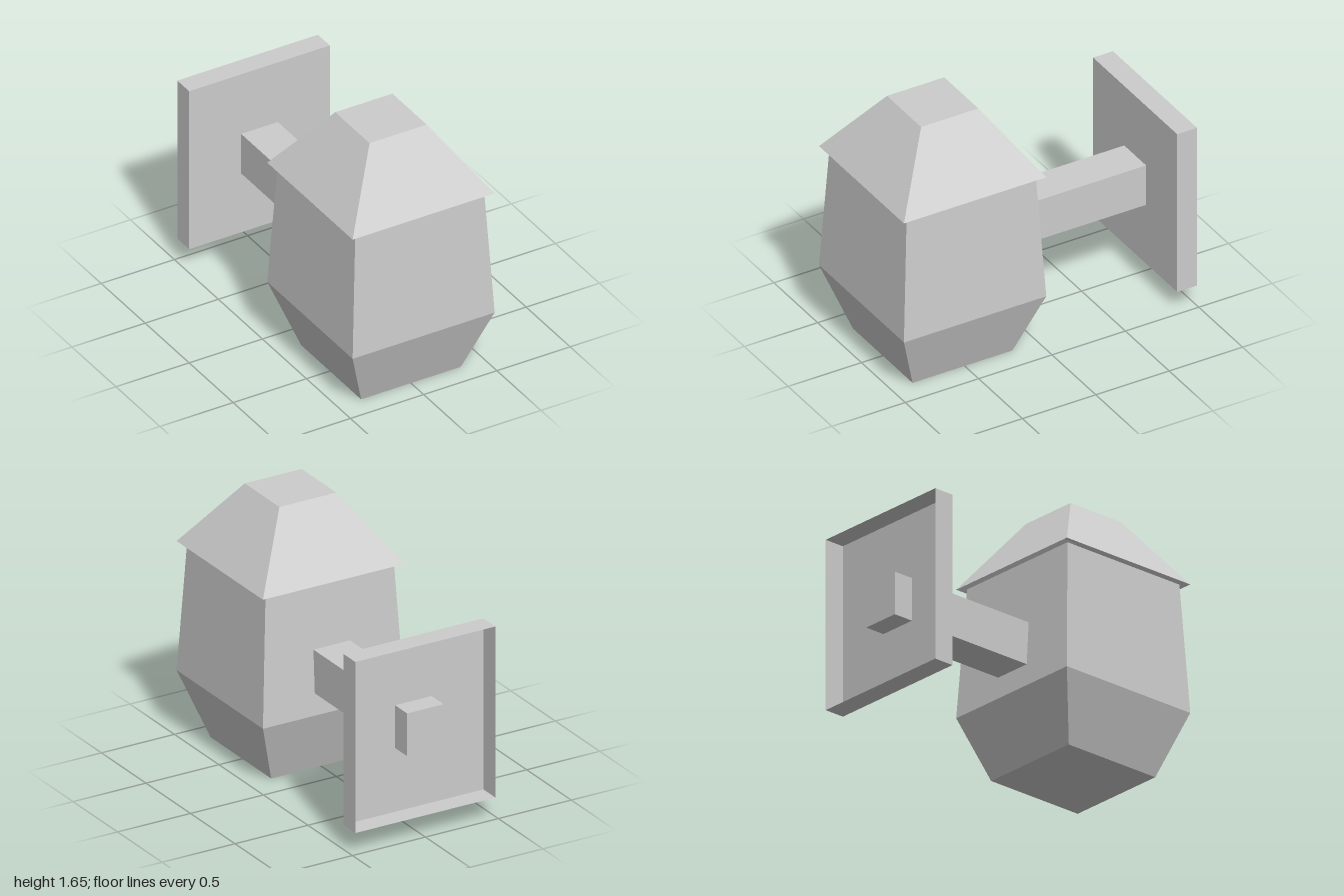
import * as THREE from 'three';

const grey = new THREE.MeshStandardMaterial({ color: 0xcccccc, flatShading: true, side: THREE.DoubleSide });
grey.name = 'grey';

// Four-sided solid from [half width, height] pairs, bottom to top
function squareLathe(profile) {
  const points = profile.map(([half, y]) => new THREE.Vector2(half * Math.SQRT2, y));
  return new THREE.LatheGeometry(points, 4).rotateY(Math.PI / 4);
}

function addPart(group, name, geometry, x, y, z) {
  const mesh = new THREE.Mesh(geometry, grey);
  mesh.name = name;
  mesh.position.set(x, y, z);
  group.add(mesh);
}

export function createModel() {
  const group = new THREE.Group();
  group.name = 'wallLantern';
  const lampZ = 0.515;

  // Lantern body: narrow closed base, widest low down, slight taper upwards
  addPart(group, 'lanternBody',
    squareLathe([[0, 0], [0.34, 0], [0.485, 0.41], [0.44, 1.24], [0, 1.24]]), 0, 0, lampZ);

  // Hollow cap, open underneath, overhanging the body
  addPart(group, 'lanternCap',
    squareLathe([[0.485, 1.24], [0.195, 1.655], [0, 1.655]]), 0, 0, lampZ);

  // Arm passes through the wall plate to its rear edge
  addPart(group, 'arm', new THREE.BoxGeometry(0.25, 0.275, 1.08), 0, 0.6875, -0.46);

  // Wall plate: thin-walled tray, open at the back (last box face dropped)
  const plate = new THREE.BoxGeometry(0.96, 1.1, 0.135);
  plate.setIndex(Array.from(plate.index.array).slice(0, 30));
  plate.clearGroups();
  addPart(group, 'wallPlate', plate, 0, 0.69, -0.9325);

  return group;
}
